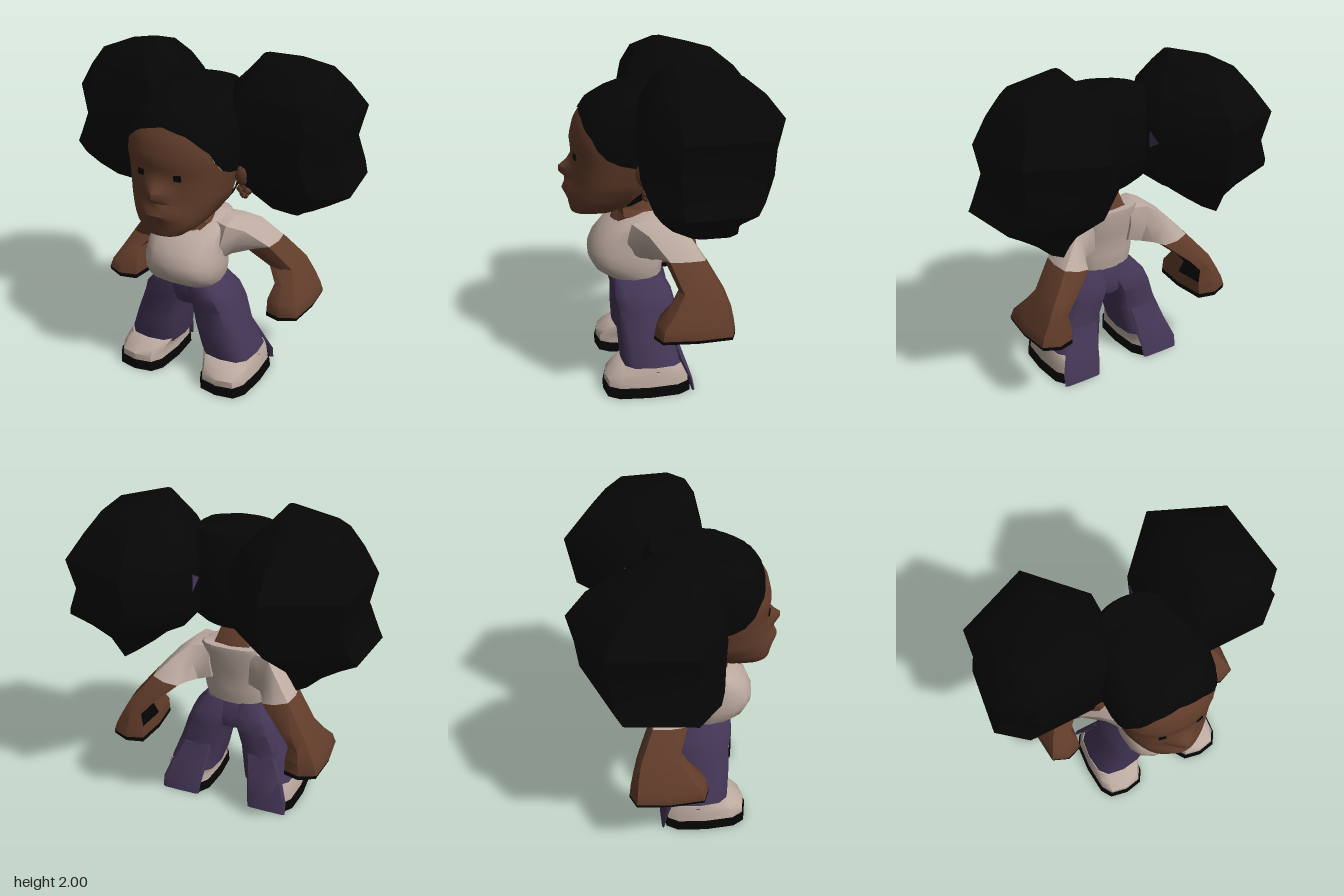
import * as THREE from 'three';
import { toCreasedNormals } from 'three/addons/utils/BufferGeometryUtils.js';

const mat = (name, color) => Object.assign(new THREE.MeshStandardMaterial({ color }), { name });

// Skins stacked rows of points (bottom to top); pick(i, j) chooses a material index per strip,
// with i = -1 for the bottom cap. side = -1 mirrors across x.
function skin(rows, { side = 1, crease = 0.75, bottom = true, top = true, pick = () => 0 } = {}) {
  const buckets = [[], []];
  const n = rows[0].length;
  const tri = (m, a, b, c) => {
    for (const p of side > 0 ? [a, b, c] : [a, c, b]) buckets[m].push(p[0] * side, p[1], p[2]);
  };
  const centre = (row) => [0, 1, 2].map((k) => row.reduce((sum, p) => sum + p[k], 0) / n);
  for (let j = 0; j < n; j++) {
    const k = (j + 1) % n;
    for (let i = 0; i < rows.length - 1; i++) {
      const m = pick(i, j);
      tri(m, rows[i][j], rows[i + 1][j], rows[i + 1][k]);
      tri(m, rows[i][j], rows[i + 1][k], rows[i][k]);
    }
    const last = rows[rows.length - 1];
    if (bottom) tri(pick(-1, j), rows[0][j], rows[0][k], centre(rows[0]));
    if (top) tri(pick(rows.length - 2, j), last[k], last[j], centre(last));
  }
  const geo = new THREE.BufferGeometry();
  geo.setAttribute('position', new THREE.Float32BufferAttribute(buckets.flat(), 3));
  const split = buckets[0].length / 3;
  geo.addGroup(0, split, 0);
  if (buckets[1].length) geo.addGroup(split, buckets[1].length / 3, 1);
  return toCreasedNormals(geo, crease);
}

// Unit cross-section with rounded-square corners
const section = (n, e) => Array.from({ length: n }, (_, k) => {
  const t = (k / n) * Math.PI * 2;
  const p = (v) => (Math.abs(v) < 1e-9 ? 0 : Math.sign(v) * Math.abs(v) ** e);
  return [p(Math.cos(t)), p(Math.sin(t))];
});

// Each ring is [innerX, innerY, outerX, outerY, zBack, zFront]
const loft = (rings, sec, opts) => skin(rings.map(([x0, y0, x1, y1, z0, z1]) => sec.map(([u, v]) => [
  x0 + (x1 - x0) * (u + 1) / 2, y0 + (y1 - y0) * (u + 1) / 2, z0 + (z1 - z0) * (v + 1) / 2,
])), opts);
// Level rings: [y, x0, x1, z0, z1]; centred rings: [y, halfWidth, z0, z1]
const level = (rings) => rings.map(([y, x0, x1, z0, z1]) => [x0, y, x1, y, z0, z1]);
const centred = (rings) => rings.map(([y, w, z0, z1]) => [-w, y, w, y, z0, z1]);

// Piecewise-linear lookup in a table keyed by its first column
function lookup(table, key) {
  let i = 0;
  while (i < table.length - 2 && key > table[i + 1][0]) i++;
  const a = table[i], b = table[i + 1];
  const t = THREE.MathUtils.clamp((key - a[0]) / (b[0] - a[0]), 0, 1);
  return a.slice(1).map((v, k) => v + (b[k + 1] - v) * t);
}

// Head profile: y, half width, back z, front z
const HEAD = [
  [1.06, 0.12, 0.27, 0.55], [1.1, 0.18, 0.18, 0.56], [1.15, 0.22, 0.05, 0.56], [1.25, 0.27, -0.1, 0.545],
  [1.4, 0.3, -0.19, 0.535], [1.5, 0.31, -0.2, 0.545], [1.6, 0.31, -0.2, 0.52], [1.71, 0.28, -0.19, 0.45],
  [1.78, 0.23, -0.17, 0.33], [1.82, 0.18, -0.14, 0.16],
];
// Hairline height by angle from the front, in degrees
const HAIRLINE = [[0, 1.67], [30, 1.635], [55, 1.55], [70, 1.44], [90, 1.37], [105, 1.12], [180, 1.09]];

function headPoint(a, y, grow = 0) {
  const [w, z0, z1] = lookup(HEAD, y);
  const c = z0 + (z1 - z0) * 0.45;
  const cos = Math.cos(a);
  const x = (w + grow) * Math.sin(a);
  const reach = (cos > 0 ? z1 - c : c - z0) + grow;
  let z = c + Math.sign(cos) * Math.abs(cos) ** (cos > 0 ? 0.55 : 0.8) * reach;
  if (cos > 0) { // nose and lips
    z += 0.08 * Math.exp(-((x / 0.065) ** 2) - ((y - 1.315) / 0.05) ** 2);
    z += 0.045 * Math.exp(-((x / 0.12) ** 2) - ((y - 1.2) / 0.045) ** 2);
  }
  return [x, y, z];
}

// Part of the head between two heights that vary with the angle
function headPatch(low, high, count, opts, grow) {
  const n = 40;
  const rows = Array.from({ length: count + 1 }, (_, i) => Array.from({ length: n }, (_, j) => {
    const a = Math.PI / 2 - (j / n) * Math.PI * 2;
    const deg = Math.abs(Math.atan2(Math.sin(a), Math.cos(a))) * 180 / Math.PI;
    return headPoint(a, low(deg) + (high(deg) - low(deg)) * i / count, grow);
  }));
  return skin(rows, opts);
}

export function createModel() {
  const model = new THREE.Group();
  const skinTone = mat('brown skin', 0x613c2a);
  const hair = mat('black hair', 0x060606);
  const cream = mat('cream cloth', 0xbcaaa0);
  const purple = mat('purple cloth', 0x443656);
  const dark = mat('dark sole', 0x050505);
  const add = (name, geo, material) => {
    const mesh = new THREE.Mesh(geo, material);
    mesh.name = name;
    model.add(mesh);
    return mesh;
  };
  const hairline = (deg) => lookup(HAIRLINE, deg)[0];

  // Head
  add('face', headPatch(() => 1.06, hairline, 18, { top: false }), skinTone);
  add('hairCap', headPatch(hairline, () => 1.82, 8, { bottom: false }, 0.008), hair);
  add('neck', loft(centred([
    [0.95, 0.13, 0, 0.33], [1.0, 0.135, 0, 0.315], [1.035, 0.165, -0.01, 0.27], [1.07, 0.12, 0, 0.27], [1.16, 0.1, 0.05, 0.32],
  ]), section(8, 0.5)), skinTone);

  // Torso and hips
  add('shirt', loft(centred([
    [0.635, 0.19, 0.02, 0.32], [0.7, 0.22, 0.01, 0.42], [0.76, 0.23, 0, 0.455], [0.82, 0.23, 0, 0.46],
    [0.89, 0.225, -0.02, 0.43], [0.97, 0.225, -0.03, 0.36], [1.03, 0.22, -0.04, 0.25], [1.06, 0.19, -0.04, 0.15],
  ]), section(16, 0.75)), cream);
  add('hips', loft(centred([
    [0.49, 0.13, -0.01, 0.27], [0.57, 0.25, -0.02, 0.32], [0.66, 0.195, 0.02, 0.32],
  ]), section(12, 0.7)), purple);

  const puffSection = [[1, 0.8], [0.78, 1], [0.2, 1], [0, 0.75], [0, 0.38], [0.38, 0], [0.94, 0.22]]
    .map(([u, v]) => [u * 2 - 1, v * 2 - 1]);

  for (const side of [1, -1]) {
    const tag = side > 0 ? 'left' : 'right';

    // Hair puff with its tie
    add(tag + 'HairPuff', loft(level([
      [1.05, 0.5, 0.58, -0.34, -0.08], [1.12, 0.4, 0.67, -0.36, 0.04], [1.2, 0.31, 0.79, -0.42, 0.11],
      [1.28, 0.18, 0.91, -0.51, 0.16], [1.34, 0.13, 0.88, -0.57, 0.18], [1.48, 0.11, 0.82, -0.59, 0.19],
      [1.66, 0.11, 0.86, -0.625, 0.19], [1.8, 0.16, 0.77, -0.51, 0.17], [1.91, 0.27, 0.69, -0.37, 0.11],
      [2.0, 0.35, 0.39, -0.06, 0],
    ]), puffSection, { side }), hair);
    const tie = add(tag + 'HairTie', new THREE.CircleGeometry(0.06, 3), purple);
    tie.position.set(side * 0.107, 1.57, -0.26);
    tie.rotation.y = -side * Math.PI / 2;

    // Eye, ear and earring
    const [ex, ey, ez] = headPoint(0.39, 1.41);
    const eye = add(tag + 'Eye', new THREE.BoxGeometry(0.042, 0.034, 0.009), dark);
    eye.position.set(side * ex, ey, ez + 0.002);
    eye.rotation.y = side * 0.2;
    const ear = add(tag + 'Ear', new THREE.SphereGeometry(1, 8, 6), skinTone);
    ear.scale.set(0.05, 0.075, 0.045);
    ear.position.set(side * 0.32, 1.355, 0.155);
    for (let k = 0; k < 4; k++) {
      const bead = add(tag + 'EarringPetal', new THREE.IcosahedronGeometry(0.03, 0), skinTone);
      const t = k * Math.PI / 2;
      bead.position.set(side * (0.325 + 0.02 * Math.cos(t)), 1.25 + 0.028 * Math.sin(t), 0.14);
    }

    // Sleeve, then forearm and fist with a dark underside and inner patch
    const hem = [0.26, 0.815, 0.45, 0.86, -0.2, 0.04];
    add(tag + 'Sleeve', loft([
      hem, [0.235, 0.8, 0.33, 0.995, -0.13, 0.15], [0.2, 0.78, 0.25, 1.055, -0.05, 0.24], [0.12, 0.8, 0.14, 1.06, -0.02, 0.2],
    ], section(8, 0.55), { side }), cream);
    add(tag + 'Arm', loft([
      [0.445, 0.44, 0.675, 0.462, -0.335, 0.135], [0.445, 0.468, 0.68, 0.482, -0.334, 0.135],
      [0.445, 0.55, 0.66, 0.54, -0.325, 0.12], [0.465, 0.63, 0.62, 0.61, -0.31, 0.05],
      [0.4, 0.7, 0.57, 0.71, -0.28, -0.02], hem,
    ], section(8, 0.5), { side, pick: (i, j) => (i < 1 || ((i === 2 || i === 3) && j === 4) ? 1 : 0) }), [skinTone, dark]);

    // Trouser leg
    add(tag + 'TrouserLeg', loft(level([
      [0.15, 0.1, 0.425, -0.09, 0.29], [0.2, 0.085, 0.41, -0.07, 0.3], [0.35, 0.055, 0.355, -0.03, 0.31],
      [0.49, 0.025, 0.305, -0.05, 0.31], [0.57, -0.01, 0.275, -0.03, 0.33], [0.66, -0.02, 0.195, 0.02, 0.32],
    ]), section(12, 0.65), { side }), purple);
    // Flared hem hanging over the heel
    add(tag + 'HeelHem', loft(level([
      [0.004, 0.17, 0.42, -0.134, -0.115], [0.08, 0.16, 0.42, -0.12, -0.1], [0.2, 0.14, 0.375, -0.078, -0.04],
      [0.33, 0.12, 0.31, -0.034, 0],
    ]), section(8, 0.4), { side }), purple);

    // Shoe and sole
    add(tag + 'Shoe', loft(level([
      [0.055, 0.13, 0.44, -0.115, 0.4], [0.1, 0.135, 0.435, -0.11, 0.4], [0.135, 0.125, 0.43, -0.1, 0.365],
      [0.175, 0.1, 0.42, -0.08, 0.3],
    ]), section(12, 0.6), { side }), cream);
    add(tag + 'Sole', loft(level([
      [0, 0.12, 0.455, -0.125, 0.41], [0.06, 0.125, 0.45, -0.115, 0.41],
    ]), section(12, 0.6), { side }), dark);
  }
  return model;
}
